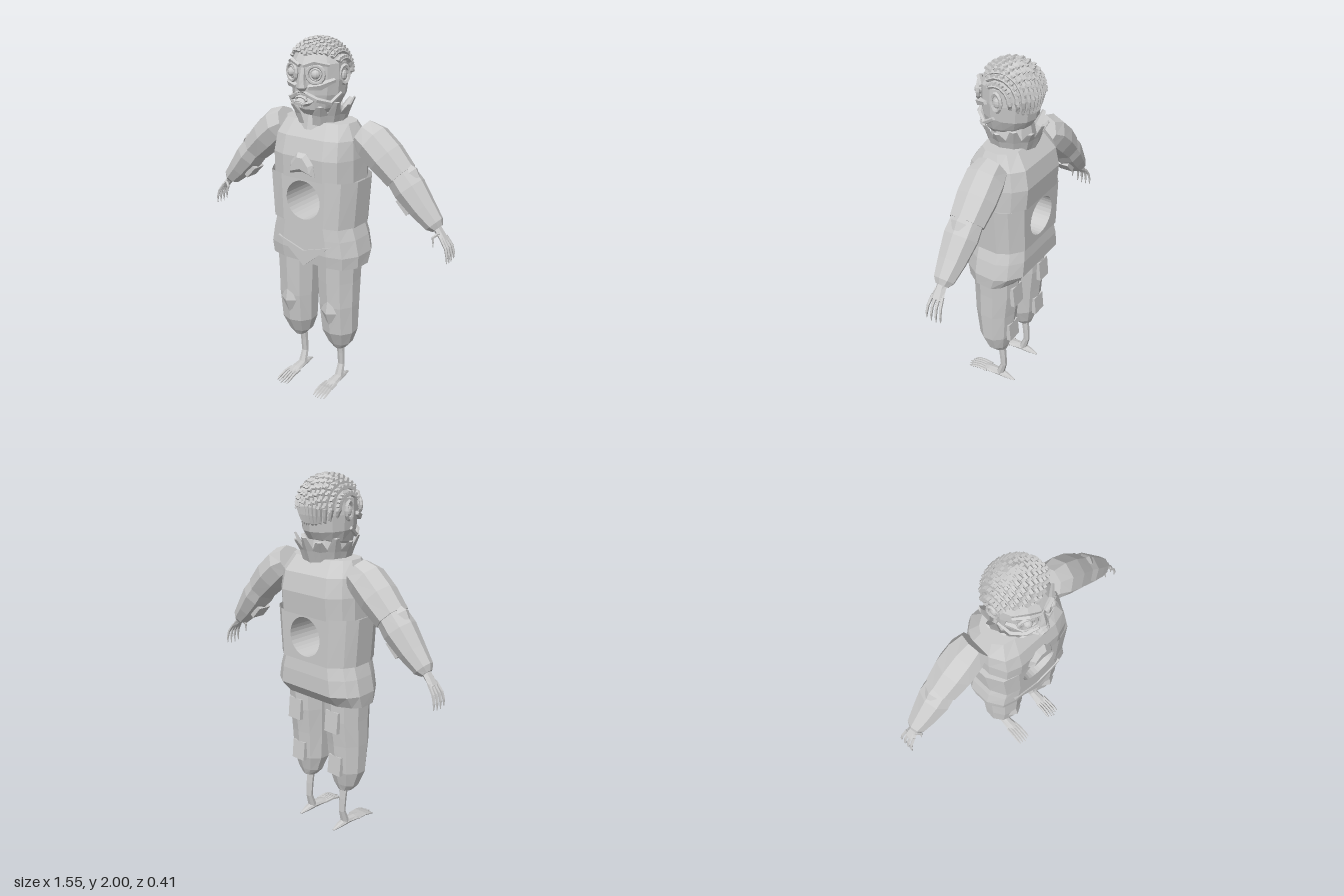
import * as THREE from 'three';

const solid = new THREE.MeshStandardMaterial({ color: 0xcccccc, flatShading: true });
const open = new THREE.MeshStandardMaterial({ color: 0xcccccc, flatShading: true, side: THREE.DoubleSide });
const V = (x, y, z) => new THREE.Vector3(x, y, z);
const X = V(1, 0, 0), Z = V(0, 0, 1);

// Skin a list of rings; faces whose side number is in skip are left out.
function loft(rings, skip = [], caps = true) {
  const pos = [], n = rings[0].length;
  const tri = (...p) => p.forEach(v => pos.push(v.x, v.y, v.z));
  for (let i = 0; i < rings.length - 1; i++) for (let j = 0; j < n; j++) {
    if (skip.includes(j)) continue;
    const k = (j + 1) % n, [a, b] = [rings[i], rings[i + 1]];
    tri(a[j], a[k], b[k]);
    tri(a[j], b[k], b[j]);
  }
  if (caps) {
    const [a, b] = [rings[0], rings[rings.length - 1]];
    for (let j = 1; j < n - 1; j++) {
      tri(a[0], a[j + 1], a[j]);
      tri(b[0], b[j], b[j + 1]);
    }
  }
  const g = new THREE.BufferGeometry();
  g.setAttribute('position', new THREE.Float32BufferAttribute(pos, 3));
  g.computeVertexNormals();
  return g;
}

// Sweep ellipses along stations [x, y, z, ra, rb]; rb lies along ref.
function sweep(path, n = 8, ref = Z) {
  const pts = path.map(p => V(p[0], p[1], p[2]));
  return loft(path.map((p, i) => {
    const t = pts[Math.min(i + 1, pts.length - 1)].clone().sub(pts[Math.max(i - 1, 0)]).normalize();
    const v = t.clone().cross(ref).normalize(), u = v.clone().cross(t);
    return Array.from({ length: n }, (_, j) => {
      const a = j / n * Math.PI * 2;
      return pts[i].clone().addScaledVector(u, (p[4] ?? p[3]) * Math.cos(a)).addScaledVector(v, p[3] * Math.sin(a));
    });
  }));
}

// Mirror across x = 0, turning the triangles back to face outward.
function mirrored(geo) {
  const g = geo.index ? geo.toNonIndexed() : geo.clone();
  g.scale(-1, 1, 1);
  const p = g.attributes.position, a = V(), b = V();
  for (let i = 0; i < p.count; i += 3) {
    a.fromBufferAttribute(p, i + 1);
    b.fromBufferAttribute(p, i + 2);
    p.setXYZ(i + 1, b.x, b.y, b.z);
    p.setXYZ(i + 2, a.x, a.y, a.z);
  }
  g.computeVertexNormals();
  return g;
}

// Torso cross-section, front to back on the left side, as fractions.
const half = [[0.5, 1], [0.8, 0.84], [0.98, 0.3], [1, -0.4], [0.88, -0.72], [0.62, -1]];
const section = [...half, ...half.slice().reverse().map(([x, z]) => [-x, z])];
const torsoRing = ([y, w, zf, zb]) => section.map(([x, z]) => V(x * w, y, z * (z > 0 ? zf : zb)));
const polygon = pts => new THREE.Shape(pts.map(p => new THREE.Vector2(...p)));

export function createModel() {
  const model = new THREE.Group();
  const add = (name, geo, mat = solid) => {
    const m = new THREE.Mesh(geo, mat);
    m.name = name;
    model.add(m);
  };
  const pair = (name, geo) => {
    add(name + 'Left', geo);
    add(name + 'Right', mirrored(geo));
  };

  // Chest, belly and skirt
  add('chest', loft([[1.28, 0.25, 0.155, 0.19], [1.4, 0.25, 0.16, 0.2], [1.5, 0.24, 0.135, 0.18], [1.58, 0.2, 0.08, 0.12]].map(torsoRing)));
  const low = [1.03, 0.26, 0.155, 0.19], high = [1.29, 0.28, 0.155, 0.19];
  add('belly', loft([low, high].map(torsoRing), [5, 11], false), open);
  add('skirt', loft([[0.8, 0.285, 0.14, 0.13], [0.87, 0.29, 0.15, 0.19], [0.96, 0.27, 0.15, 0.19], [1.05, 0.24, 0.15, 0.18]].map(torsoRing)));

  // Pierced belly panels and the tunnel between them
  const panel = f => {
    const s = polygon([[-f * low[1], low[0]], [f * low[1], low[0]], [f * high[1], high[0]], [-f * high[1], high[0]]]);
    s.holes.push(new THREE.Path().absarc(0, 1.165, 0.108, 0, Math.PI * 2, true));
    return new THREE.ShapeGeometry(s, 16);
  };
  add('bellyFront', panel(0.5).translate(0, 0, 0.155), open);
  add('bellyBack', panel(0.62).rotateY(Math.PI).translate(0, 0, -0.19), open);
  add('tunnel', new THREE.CylinderGeometry(0.108, 0.108, 0.345, 32, 1, true).rotateX(Math.PI / 2).translate(0, 1.165, -0.0175), open);

  // Chest ornament and folded front flap
  const ornament = polygon([[-0.075, 1.31], [0, 1.33], [0.075, 1.31], [0.065, 1.37], [0.025, 1.42], [-0.025, 1.42], [-0.065, 1.37]]);
  add('chestOrnament', new THREE.ExtrudeGeometry(ornament, { depth: 0.03, bevelThickness: 0.025, bevelSize: 0.02, bevelOffset: -0.015, bevelSegments: 1 }).translate(0, 0, 0.13));
  const flap = polygon([[-0.17, 0.93], [0, 0.785], [0.17, 0.93], [0, 0.875]]);
  add('frontFlap', new THREE.ExtrudeGeometry(flap, { depth: 0.025, bevelEnabled: false }).translate(0, 0, 0.132));

  // Arms
  pair('upperArm', sweep([[0.24, 1.52, -0.045, 0.085, 0.085], [0.3, 1.49, -0.045, 0.1, 0.105], [0.38, 1.42, -0.048, 0.1, 0.108], [0.47, 1.335, -0.05, 0.086, 0.095]]));
  pair('forearm', sweep([[0.44, 1.37, -0.05, 0.075, 0.085], [0.52, 1.28, -0.05, 0.086, 0.092], [0.6, 1.19, -0.05, 0.07, 0.075], [0.67, 1.12, -0.05, 0.052, 0.055], [0.69, 1.1, -0.05, 0.03, 0.035]]));
  pair('elbowDiamond', new THREE.OctahedronGeometry(1).scale(0.07, 0.022, 0.045).rotateZ(-Math.PI / 4).translate(0.535, 1.375, -0.05));
  pair('forearmPatch', new THREE.BoxGeometry(0.09, 0.025, 0.08).rotateZ(-0.8).translate(0.505, 1.185, -0.05));
  pair('palm', sweep([[0.675, 1.115, -0.05, 0.022, 0.026], [0.705, 1.08, -0.05, 0.018, 0.03], [0.735, 1.045, -0.05, 0.014, 0.038]], 6));
  for (let i = 0; i < 4; i++) {
    const o = (i - 1.5) / 1.5, reach = 0.01 * Math.abs(o);
    pair('finger', sweep([[0.725, 1.06, -0.05 + 0.028 * o, 0.009], [0.757, 1.015, -0.05 + 0.036 * o, 0.008], [0.768, 0.975, -0.05 + 0.04 * o, 0.007], [0.769, 0.93 + reach, -0.05 + 0.042 * o, 0.002]], 5));
  }
  pair('thumb', sweep([[0.71, 1.085, -0.03, 0.009], [0.683, 1.06, -0.015, 0.008], [0.69, 1.01, -0.01, 0.002]], 5));

  // Trouser legs with knee diamonds and back patches
  pair('trouserLeg', sweep([[0.14, 0.25, -0.015, 0.038, 0.045], [0.14, 0.29, -0.01, 0.075, 0.065], [0.14, 0.38, 0, 0.108, 0.1], [0.138, 0.55, 0.005, 0.116, 0.118], [0.135, 0.7, 0, 0.12, 0.13], [0.135, 0.84, 0, 0.125, 0.135]], 10));
  pair('kneeDiamond', new THREE.OctahedronGeometry(1).scale(0.052, 0.1, 0.03).rotateX(0.08).translate(0.138, 0.52, 0.11));
  pair('upperPatch', new THREE.BoxGeometry(0.09, 0.12, 0.025).rotateX(0.1).translate(0.14, 0.7, -0.125));
  pair('lowerPatch', new THREE.BoxGeometry(0.09, 0.11, 0.025).rotateX(0.1).translate(0.14, 0.43, -0.1));

  // Shanks, feet and toes
  pair('shank', sweep([[0.132, 0.27, -0.02, 0.025, 0.022], [0.132, 0.19, -0.03, 0.023, 0.02], [0.132, 0.11, -0.035, 0.021, 0.018], [0.132, 0.03, -0.01, 0.027, 0.024]], 7));
  pair('foot', sweep([[0.132, 0.012, -0.11, 0.004, 0.006], [0.132, 0.022, -0.06, 0.014, 0.02], [0.132, 0.03, 0, 0.02, 0.028], [0.132, 0.026, 0.06, 0.016, 0.034], [0.132, 0.02, 0.11, 0.01, 0.038]], 8, X));
  for (let i = -2; i <= 2; i++) {
    const x = 0.132 + 0.016 * i;
    pair('toe', sweep([[x, 0.026, 0.07, 0.009], [x + 0.001 * i, 0.026, 0.13, 0.009], [x + 0.002 * i, 0.016, 0.17, 0.008], [x + 0.002 * i, 0.004, 0.21 - 0.006 * Math.abs(i), 0.003]], 5, X));
  }

  // Collar of pointed petals around the neck, open at the front
  add('neck', new THREE.CylinderGeometry(0.1, 0.13, 0.14, 10).translate(0, 1.61, -0.015));
  for (let i = 0; i < 11; i++) {
    const a = 0.55 + i / 10 * (Math.PI * 2 - 1.1), s = Math.sin(a), c = Math.cos(a);
    const at = (r, y, t, w) => [s * r, y, c * r - 0.02, t, w];
    add('collarPetal', sweep([at(0.115, 1.56, 0.012, 0.04), at(0.135, 1.62, 0.012, 0.042), at(0.17, 1.67 + 0.02 * (i % 2), 0.006, 0.018)], 4, V(c, 0, -s)));
  }

  // Head, with a jutting jaw
  add('head', sweep([[0, 1.62, -0.01, 0.08, 0.09], [0, 1.66, 0.005, 0.115, 0.125], [0, 1.72, 0, 0.138, 0.145], [0, 1.8, -0.003, 0.145, 0.153], [0, 1.88, -0.003, 0.142, 0.153], [0, 1.94, 0, 0.112, 0.12], [0, 1.98, 0.01, 0.055, 0.06]], 14));
  add('nose', sweep([[0, 1.86, 0.145, 0.016, 0.014], [0, 1.8, 0.155, 0.02, 0.022], [0, 1.765, 0.158, 0.03, 0.026], [0, 1.75, 0.15, 0.02, 0.015]], 6));
  [0.022, 0, -0.018].forEach((dy, i) => add('lip', new THREE.TorusGeometry(0.032 - 0.004 * i, 0.009, 5, 10).scale(1.1, 0.55, 1).rotateX(0.25).translate(0, 1.705 + dy, 0.15 + 0.012 * i)));
  add('jaw', sweep([[0, 1.705, 0.11, 0.035, 0.065], [0, 1.69, 0.15, 0.025, 0.05], [0, 1.685, 0.185, 0.01, 0.025]], 6, X));
  pair('cheekStrap', sweep([[0.02, 1.735, 0.155, 0.012], [0.075, 1.705, 0.132, 0.014], [0.12, 1.685, 0.075, 0.013], [0.14, 1.73, 0.01, 0.01]], 5, V(0, 1, 0)));
  pair('cheekBone', sweep([[0.035, 1.765, 0.148, 0.014], [0.09, 1.775, 0.125, 0.022], [0.135, 1.8, 0.06, 0.012]], 5, V(0, 1, 0)));
  pair('brow', sweep([[0.012, 1.872, 0.158, 0.01], [0.065, 1.892, 0.142, 0.014], [0.122, 1.875, 0.09, 0.009]], 5, V(0, 1, 0)));

  // Goggle-like eyes
  const eye = g => g.rotateY(0.42).translate(0.072, 1.832, 0.138);
  pair('eyeRim', eye(new THREE.TorusGeometry(0.043, 0.01, 6, 14)));
  pair('eyelid', eye(new THREE.TorusGeometry(0.027, 0.007, 5, 12)));
  pair('eyeball', eye(new THREE.SphereGeometry(0.024, 10, 8)));

  // Ears
  pair('earRim', new THREE.TorusGeometry(0.036, 0.01, 5, 12).scale(0.85, 1.2, 1).rotateY(Math.PI / 2 - 0.25).translate(0.145, 1.82, -0.01));
  pair('earLobe', new THREE.SphereGeometry(0.02, 8, 6).scale(0.6, 1.3, 1).translate(0.143, 1.815, -0.01));

  // Braids from hairline to nape, each with a row of knots
  const braids = 13;
  for (let i = 0; i < braids; i++) {
    const o = (i / (braids - 1)) * 2 - 1, side = Math.abs(o), k = Math.sqrt(1 - 0.78 * o * o);
    const spot = (a, lift = 0) => {
      const down = Math.max(0, -Math.sin(a));
      return [0.142 * o * (1 - 0.35 * down), 1.83 + (0.152 * k + lift) * Math.sin(a), (0.155 * k + lift) * Math.cos(a) - 0.005];
    };
    const start = 0.6 + 0.35 * side, end = Math.PI + 0.75, steps = 12;
    add('braid', sweep(Array.from({ length: steps + 1 }, (_, j) => [...spot(start + (end - start) * j / steps), j % 2 ? 0.015 : 0.011, 0.012]), 5, X));
    for (let j = 0; j < 10; j++) {
      const a = start + 0.05 + j * 0.24 + (i % 2) * 0.1;
      add('braidKnot', new THREE.BoxGeometry(0.019, 0.013, 0.015).rotateX(-a + Math.PI / 2 + 0.3).translate(...spot(a, 0.01)));
    }
  }
  return model;
}
